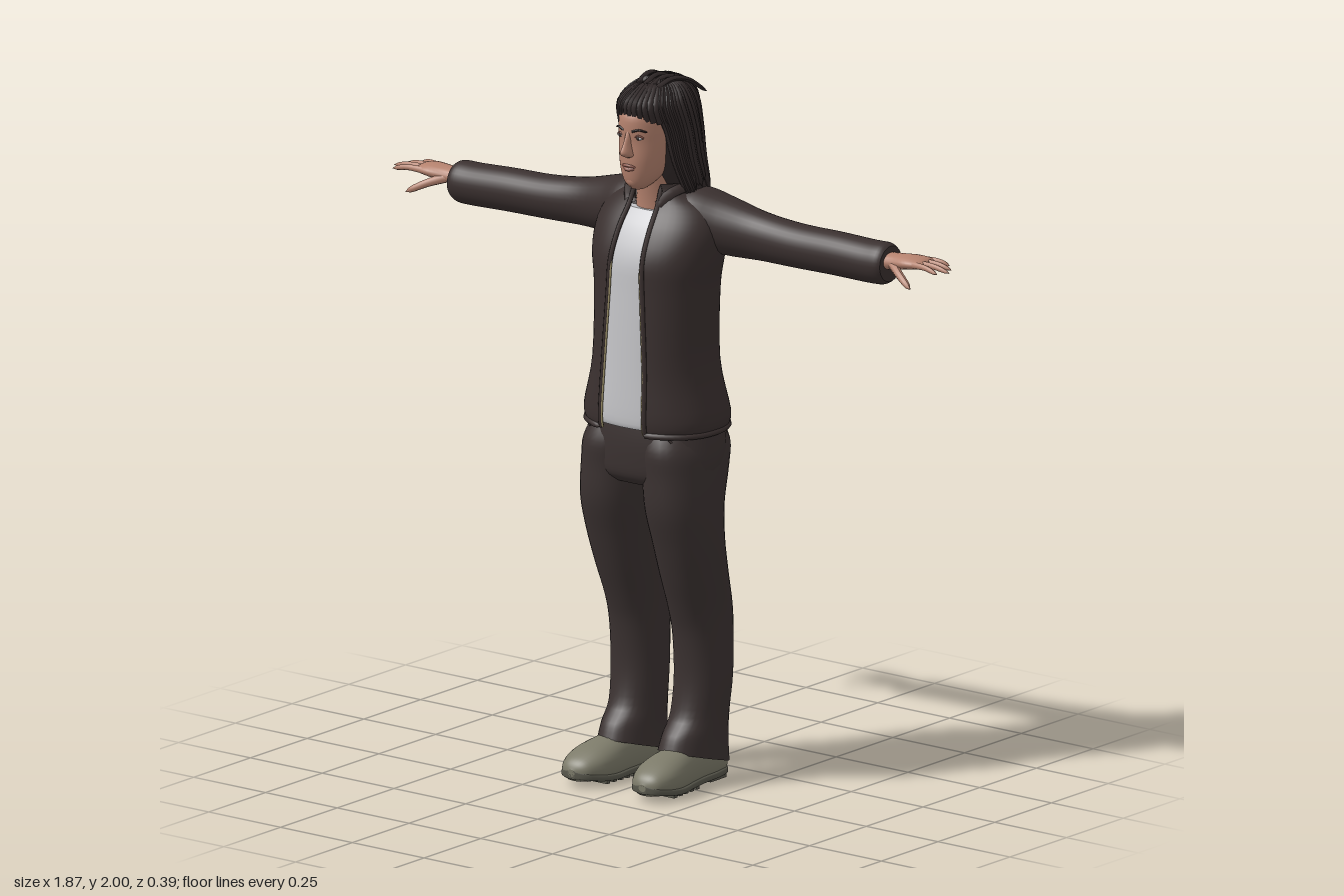
import * as THREE from 'three';

const mat = (name, color) => {
  const m = new THREE.MeshStandardMaterial({ color, side: THREE.DoubleSide });
  m.name = name;
  return m;
};

let seed = 7;
const rnd = () => (seed = (seed * 16807) % 2147483647) / 2147483647;

// Smoothly interpolates rows of numbers (Catmull-Rom)
function smoothRows(rows, sub) {
  const out = [], at = i => rows[Math.max(0, Math.min(rows.length - 1, i))];
  for (let i = 0; i < rows.length - 1; i++) for (let k = 0; k < sub; k++) {
    const t = k / sub, [a, b, c, d] = [at(i - 1), at(i), at(i + 1), at(i + 2)];
    out.push(b.map((_, n) => 0.5 * (2 * b[n] + (c[n] - a[n]) * t
      + (2 * a[n] - 5 * b[n] + 4 * c[n] - d[n]) * t * t
      + (3 * b[n] - a[n] - 3 * c[n] + d[n]) * t * t * t)));
  }
  out.push(rows[rows.length - 1]);
  return out;
}

// Point on a rounded cross-section row [y, cx, cz, rx, rz]; angle 0 faces +z
const pw = (v, e) => Math.sign(v) * Math.abs(v) ** e;
const onRow = ([y, cx, cz, rx, rz], a, e = 1) =>
  new THREE.Vector3(cx + rx * pw(Math.sin(a), e), y, cz + rz * pw(Math.cos(a), e));
const gapAngle = (r, e) => Math.asin(Math.min(1, (r[5] / r[3]) ** (1 / e)));

// Skin over rows from bottom to top; a sixth row value is half the width of a front opening
function loft(rows, { n = 32, e = 1, sub = 4, caps = true } = {}) {
  const rings = smoothRows(rows, sub), open = rows[0].length > 5;
  const pos = [], idx = [], w = open ? n + 1 : n;
  for (const r of rings) {
    const g = open ? gapAngle(r, e) : 0;
    for (let i = 0; i < w; i++) pos.push(...onRow(r, g + (2 * Math.PI - 2 * g) * i / n, e).toArray());
  }
  for (let j = 0; j < rings.length - 1; j++) for (let i = 0; i < n; i++) {
    const k = (i + 1) % w, a = j * w + i, b = j * w + k;
    idx.push(a, b, b + w, a, b + w, a + w);
  }
  if (caps && !open) for (const top of [false, true]) {
    const r = rings[top ? rings.length - 1 : 0], base = pos.length / 3;
    pos.push(r[1], r[0], r[2]);
    for (let i = 0; i < n; i++) pos.push(...onRow(r, 2 * Math.PI * i / n, e).toArray());
    for (let i = 0; i < n; i++) {
      const a = base + 1 + i, b = base + 1 + (i + 1) % n;
      idx.push(base, ...(top ? [a, b] : [b, a]));
    }
  }
  const geo = new THREE.BufferGeometry();
  geo.setAttribute('position', new THREE.Float32BufferAttribute(pos, 3));
  geo.setIndex(idx);
  geo.computeVertexNormals();
  return geo;
}

// Tube that narrows to a rounded tip
function strand(points, r, { seg = 14, sides = 7, end = 0.6 } = {}) {
  const path = new THREE.CatmullRomCurve3(points.map(p => p.isVector3 ? p : new THREE.Vector3(...p)));
  const geo = new THREE.TubeGeometry(path, seg, r, sides), p = geo.attributes.position, v = new THREE.Vector3();
  for (let i = 0; i <= seg; i++) {
    const t = i / seg, c = path.getPointAt(t);
    const k = i === seg ? 0.05 : (1 + (end - 1) * t) * (i === seg - 1 ? 0.85 : 1);
    for (let j = 0; j <= sides; j++) {
      const q = i * (sides + 1) + j;
      v.fromBufferAttribute(p, q).sub(c).multiplyScalar(k).add(c);
      p.setXYZ(q, v.x, v.y, v.z);
    }
  }
  geo.computeVertexNormals();
  return geo;
}

export function createModel() {
  const root = new THREE.Group();
  root.name = 'standingFigure';
  const jacket = mat('jacketCloth', 0x3a302f), pants = mat('trouserCloth', 0x3b3231), hair = mat('hair', 0x302828);
  const skin = mat('skin', 0xb5826e), shirt = mat('shirtCloth', 0xc6c6c9), shoe = mat('shoeLeather', 0x7c7a69);
  const sole = mat('soleRubber', 0x58574c), lip = mat('lips', 0x915c50), metal = mat('zipMetal', 0x9c9068);
  const add = (name, geo, m, parent = root) => {
    const mesh = new THREE.Mesh(geo, m);
    mesh.name = name;
    parent.add(mesh);
    return mesh;
  };
  const dot = (name, m, x, y, z, sx, sy, sz, parent = root) => {
    const d = add(name, new THREE.SphereGeometry(1, 14, 10), m, parent);
    d.position.set(x, y, z);
    d.scale.set(sx, sy, sz);
  };

  // Open jacket with the shirt inside
  const E = 0.88;
  const coat = [[1.02, 0.003, -0.025, 0.203, 0.158, 0.076], [1.06, 0.003, -0.025, 0.211, 0.163, 0.076],
    [1.2, 0.003, -0.02, 0.178, 0.152, 0.072], [1.4, 0.003, -0.024, 0.178, 0.147, 0.06],
    [1.5, 0.003, -0.03, 0.192, 0.146, 0.055], [1.58, 0.003, -0.052, 0.195, 0.134, 0.052],
    [1.64, 0.003, -0.07, 0.165, 0.112, 0.048], [1.675, 0.003, -0.062, 0.1, 0.092, 0.046],
    [1.705, 0.003, -0.055, 0.082, 0.083, 0.045]];
  add('jacketBody', loft(coat, { n: 48, e: E }), jacket);
  add('shirt', loft(coat.slice(0, 7).map(([y, x, z, rx, rz]) => [Math.min(1.63, Math.max(1.03, y)), x, z, rx * 0.94, rz * 0.95]),
    { n: 40, e: E }), shirt);
  const hem = Array.from({ length: 41 }, (_, i) => {
    const g = gapAngle(coat[0], E);
    return onRow(coat[0], g + (2 * Math.PI - 2 * g) * i / 40, E);
  });
  add('jacketHem', strand(hem, 0.009, { seg: 60, end: 1 }), jacket);
  for (const s of [1, -1]) {
    const edge = smoothRows(coat, 3).map(r => onRow(r, s * gapAngle(r, E), E));
    add('jacketFrontEdge', strand(edge, 0.007, { seg: 40, end: 1 }), jacket);
    add('zip', strand(edge.slice(0, 13).map(p => p.clone().add(new THREE.Vector3(-s * 0.005, 0, 0.001))), 0.004, { seg: 26, sides: 5, end: 1 }), metal);
    // Turned collar
    add('collar', strand([[s * 0.05, 1.645, 0.025], [s * 0.068, 1.675, 0.005], [s * 0.085, 1.69, -0.045],
      [s * 0.06, 1.69, -0.115], [0, 1.69, -0.137]], 0.017, { end: 1 }), jacket);
  }

  // Arms and hands
  for (const s of [1, -1]) {
    const arm = new THREE.Group(), side = s > 0 ? 'left' : 'right';
    arm.name = side + 'Arm';
    root.add(arm);
    const zAt = x => -0.103 - s * 0.052 * (x - 0.1);
    const along = (rows, opt) => loft(rows.map(([x, y, dz, ry, rz]) => [x, -s * y, zAt(x) + dz, ry, rz]), opt).rotateZ(-s * Math.PI / 2);
    add('sleeve', along([[0.04, 1.615, 0.03, 0.07, 0.085], [0.12, 1.603, 0.022, 0.083, 0.092], [0.2, 1.585, 0.008, 0.08, 0.077],
      [0.3, 1.572, 0, 0.068, 0.06], [0.42, 1.565, 0, 0.062, 0.058], [0.55, 1.564, 0, 0.061, 0.058],
      [0.66, 1.561, 0, 0.06, 0.058], [0.71, 1.562, 0, 0.059, 0.057], [0.728, 1.563, 0, 0.05, 0.049]]), jacket, arm);
    add('palm', along([[0.69, 1.567, 0, 0.026, 0.031], [0.75, 1.574, 0, 0.023, 0.034], [0.8, 1.58, 0, 0.02, 0.043],
      [0.835, 1.581, -0.004, 0.015, 0.042], [0.85, 1.58, -0.004, 0.008, 0.036]], { n: 20 }), skin, arm);
    [0.89, 0.92, 0.937, 0.918].forEach((tip, i) => {
      const z = zAt(0.83) - 0.036 + i * 0.0215, spread = (i - 1.5) * 0.009;
      add('finger', strand([[s * 0.815, 1.581, z], [s * (0.83 + tip) / 2, 1.582, z + spread * 0.5], [s * tip, 1.573, z + spread]], 0.0105, { seg: 8, sides: 8 }), skin, arm);
    });
    add('thumb', strand([[s * 0.75, 1.57, zAt(0.75) + 0.02], [s * 0.795, 1.553, zAt(0.8) + 0.05], [s * 0.848, 1.525, zAt(0.85) + 0.073]], 0.014, { seg: 9, sides: 8 }), skin, arm);
  }

  // Trousers
  add('trouserSeat', loft([[0.865, 0, -0.008, 0.17, 0.1], [0.89, 0, -0.01, 0.2, 0.125], [0.94, 0, -0.02, 0.21, 0.14],
    [1.0, 0, -0.028, 0.204, 0.147], [1.06, 0, -0.028, 0.19, 0.14]], { e: 0.9 }), pants);
  for (const s of [1, -1]) {
    const leg = loft([[0.08, 0.105, -0.055, 0.078, 0.12], [0.14, 0.106, -0.062, 0.073, 0.108], [0.2, 0.107, -0.08, 0.073, 0.088],
      [0.3, 0.11, -0.092, 0.077, 0.083], [0.42, 0.11, -0.09, 0.077, 0.089], [0.5, 0.11, -0.078, 0.078, 0.098], [0.6, 0.113, -0.047, 0.085, 0.102],
      [0.7, 0.115, -0.02, 0.092, 0.106], [0.8, 0.112, -0.006, 0.098, 0.12], [0.9, 0.106, -0.018, 0.102, 0.136],
      [0.97, 0.1, -0.026, 0.1, 0.145], [1.03, 0.09, -0.026, 0.08, 0.12]].map(([y, x, ...r]) => [y, s * x, ...r]), { e: 0.93 });
    // Hem rises over the instep and drops at the heel
    const p = leg.attributes.position;
    for (let i = 0; i < p.count; i++) {
      const y = p.getY(i);
      if (y < 0.2) p.setY(i, y + (p.getZ(i) + 0.05) * 0.28 * (0.2 - y) / 0.12);
    }
    leg.computeVertexNormals();
    add(s > 0 ? 'leftTrouserLeg' : 'rightTrouserLeg', leg, pants);
    add('pocketSeam', strand([[s * 0.135, 1.01, 0.092], [s * 0.17, 0.96, 0.068], [s * 0.204, 0.92, 0.012]], 0.004), pants);

    // Shoes, lofted heel to toe and flattened underneath
    const foot = new THREE.Group();
    foot.name = s > 0 ? 'leftFoot' : 'rightFoot';
    root.add(foot);
    const cx = z => s * (0.11 + z * 0.07);
    const rows = [[-0.175, 0.045, 0.02, 0.022], [-0.16, 0.047, 0.042, 0.04], [-0.11, 0.055, 0.052, 0.055], [-0.04, 0.06, 0.053, 0.062],
      [0.02, 0.06, 0.059, 0.064], [0.08, 0.056, 0.068, 0.058], [0.13, 0.052, 0.067, 0.049], [0.17, 0.047, 0.052, 0.036],
      [0.188, 0.044, 0.034, 0.024], [0.196, 0.042, 0.012, 0.01]];
    const shoeLoft = (f, lo, e) => {
      const g = loft(rows.map(f), { n: 28, e }).rotateX(Math.PI / 2), q = g.attributes.position;
      for (let i = 0; i < q.count; i++) q.setY(i, Math.max(q.getY(i), lo));
      g.computeVertexNormals();
      return g;
    };
    add('shoe', shoeLoft(([z, y, rx, ry]) => [z, cx(z), -y, rx, ry], 0.018, 0.9), shoe, foot);
    add('sole', shoeLoft(([z, , rx]) => [z, cx(z), -0.02 - Math.max(0, z - 0.1) * 0.18, rx + 0.002, 0.012], 0.008, 0.5), sole, foot);
    const block = (name, z, w, d) => add(name, new THREE.BoxGeometry(w, 0.014, d), sole, foot).position.set(cx(z), 0.007, z);
    block('heelBlock', -0.12, 0.078, 0.07);
    for (let i = 0; i < 5; i++) block('tread', -0.01 + i * 0.027, 0.094, 0.014);
  }
  dot('backButton', shirt, 0.015, 1.005, -0.177, 0.009, 0.008, 0.006);

  // Head, neck and face
  const head = new THREE.Group();
  head.name = 'head';
  root.add(head);
  add('neck', loft([[1.58, 0, -0.04, 0.07, 0.07], [1.65, 0, -0.03, 0.056, 0.06], [1.76, 0, -0.02, 0.055, 0.065]]), skin, head);
  add('face', loft([[1.695, 0, 0.052, 0.018, 0.022], [1.712, 0, 0.046, 0.038, 0.045], [1.74, 0, 0.03, 0.055, 0.069],
    [1.78, 0, 0.015, 0.066, 0.088], [1.83, 0, 0, 0.074, 0.101], [1.87, 0, -0.01, 0.076, 0.114], [1.91, 0, -0.02, 0.075, 0.118],
    [1.95, 0, -0.03, 0.058, 0.09], [1.972, 0, -0.03, 0.03, 0.04]], { n: 40, e: 0.93 }), skin, head);
  add('nose', loft([[1.79, 0, 0.094, 0.008, 0.01], [1.797, 0, 0.096, 0.018, 0.025], [1.808, 0, 0.097, 0.016, 0.034],
    [1.83, 0, 0.095, 0.011, 0.025], [1.86, 0, 0.092, 0.009, 0.014], [1.88, 0, 0.09, 0.008, 0.006]], { n: 16 }), skin, head);
  add('upperLip', strand([[-0.026, 1.763, 0.091], [-0.008, 1.768, 0.104], [0.008, 1.768, 0.104], [0.026, 1.763, 0.091]], 0.004, { end: 1 }), lip, head);
  add('lowerLip', strand([[-0.022, 1.761, 0.092], [0, 1.757, 0.104], [0.022, 1.761, 0.092]], 0.005, { end: 1 }), lip, head);
  dot('chin', skin, 0, 1.722, 0.077, 0.024, 0.02, 0.019, head);
  for (const s of [1, -1]) {
    dot('eyeWhite', shirt, s * 0.031, 1.848, 0.092, 0.012, 0.005, 0.006, head);
    dot('iris', hair, s * 0.031, 1.848, 0.096, 0.005, 0.005, 0.003, head);
    add('upperEyelid', strand([[s * 0.017, 1.848, 0.096], [s * 0.031, 1.855, 0.096], [s * 0.046, 1.848, 0.088]], 0.003, { end: 1 }), lip, head);
    add('eyebrow', strand([[s * 0.014, 1.866, 0.1], [s * 0.034, 1.872, 0.097], [s * 0.054, 1.866, 0.083]], 0.004), hair, head);
  }

  // Hair: a close cap with long rope-like locks hanging from the crown
  const locks = new THREE.Group();
  locks.name = 'hair';
  root.add(locks);
  const scalp = [[1.65, 0, -0.09, 0.122, 0.066], [1.75, 0, -0.064, 0.11, 0.092], [1.85, 0, -0.045, 0.1, 0.109],
    [1.9, 0, -0.034, 0.094, 0.121], [1.93, 0, -0.03, 0.085, 0.122], [1.96, 0, -0.036, 0.067, 0.097],
    [1.98, 0, -0.04, 0.04, 0.06], [1.988, 0, -0.04, 0.012, 0.02]];
  add('hairCap', loft(scalp, { n: 36 }), hair, locks);
  const fine = smoothRows(scalp, 8);
  const scalpAt = (y, a, grow = 1) => {
    const r = fine.reduce((m, q) => Math.abs(q[0] - y) < Math.abs(m[0] - y) ? q : m);
    return onRow([y, 0, r[2], r[3] * grow, r[4] * grow], a);
  };
  const rad = Math.PI / 180;
  for (let i = 0; i < 44; i++) {
    const a = (50 + 260 * i / 43) * rad, end = 1.65 + rnd() * 0.06, turn = (rnd() - 0.5) * 0.12, grow = 1 + rnd() * 0.05;
    const pts = [1.984, 1.965, 1.93, 1.86, 1.77, end].map((y, k) => scalpAt(y, a + turn * k / 5, grow));
    add('hangingLock', strand(pts, 0.0105, { seg: 20, end: 0.75 }), hair, locks);
  }
  for (let i = 0; i < 13; i++) {
    const a = (-54 + 9 * i) * rad;
    add('frontLock', strand([1.906 - Math.abs(i - 6) * 0.004, 1.935, 1.962, 1.982].map(y => scalpAt(y, a)), 0.011, { seg: 12, end: 0.9 }), hair, locks);
  }
  for (let i = 0; i < 4; i++) {
    const x = -0.03 + i * 0.022;
    add('looseLock', strand([[x, 1.975, 0.02], [x * 1.3, 1.992, -0.03], [x * 1.6, 1.98, -0.09], [x * 2, 1.935, -0.155]], 0.009), hair, locks);
  }
  return root;
}
